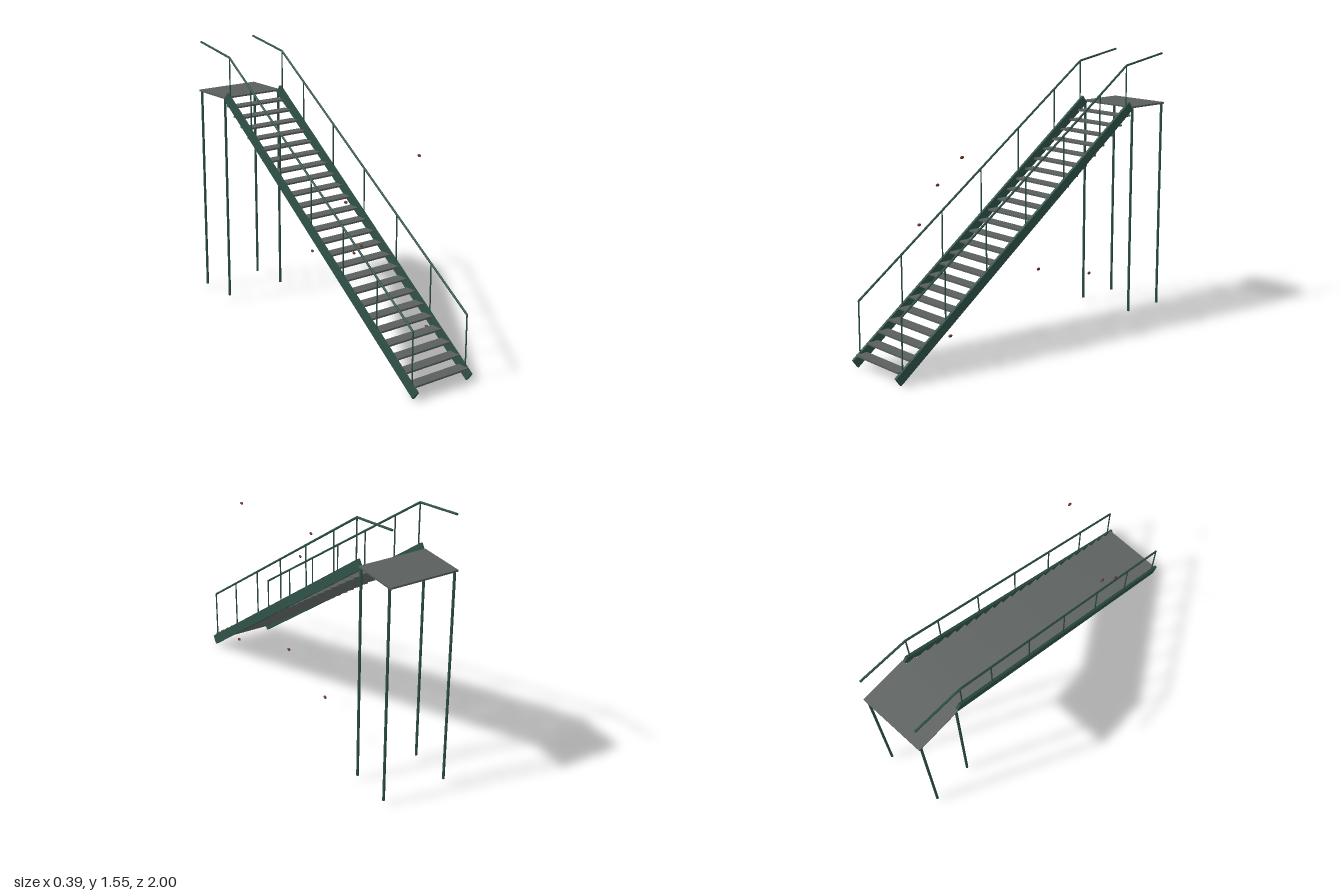
import * as THREE from 'three';

const green = new THREE.MeshStandardMaterial({ color: 0x2f5249 });
const grey = new THREE.MeshStandardMaterial({ color: 0x5a5f5d });
const brown = new THREE.MeshStandardMaterial({ color: 0x6b3626 });

function add(parent, name, geometry, material, x, y, z) {
  const mesh = new THREE.Mesh(geometry, material);
  mesh.name = name;
  mesh.position.set(x, y, z);
  parent.add(mesh);
  return mesh;
}

// Round bar between two points
function bar(parent, name, a, b, radius) {
  const dir = b.clone().sub(a);
  const mid = a.clone().add(b).multiplyScalar(0.5);
  const mesh = add(parent, name, new THREE.CylinderGeometry(radius, radius, dir.length(), 10), green, mid.x, mid.y, mid.z);
  mesh.quaternion.setFromUnitVectors(new THREE.Vector3(0, 1, 0), dir.normalize());
  return mesh;
}

export function createModel() {
  const model = new THREE.Group();
  model.name = 'staircase';

  // Centre line of the sloping side beams
  const low = { z: 0.984, y: 0.022 };
  const high = { z: -0.717, y: 1.263 };
  const run = low.z - high.z;
  const rise = high.y - low.y;
  const beamY = (z) => low.y + (rise * (low.z - z)) / run;
  const railY = (z) => 0.36 + 0.696 * (0.952 - z);

  for (const side of [-1, 1]) {
    const group = new THREE.Group();
    group.name = side > 0 ? 'leftSide' : 'rightSide';
    model.add(group);

    // Stringer
    const stringer = add(group, 'stringer', new THREE.BoxGeometry(0.015, 0.054, Math.hypot(run, rise)), green,
      side * 0.184, (low.y + high.y) / 2, (low.z + high.z) / 2);
    stringer.rotation.x = Math.atan2(rise, run);

    // Handrail with its bend at the top
    const x = side * 0.183;
    const foot = new THREE.Vector3(x, railY(0.952), 0.952);
    const bend = new THREE.Vector3(x, railY(-0.679), -0.679);
    const end = new THREE.Vector3(x, 1.545, -0.983);
    bar(group, 'handrail', foot, bend, 0.006);
    bar(group, 'upperHandrail', bend, end, 0.006);
    for (const p of [foot, bend]) add(group, 'handrailJoint', new THREE.SphereGeometry(0.006, 10, 8), green, p.x, p.y, p.z);

    // Rail posts
    for (const z of [0.952, 0.668, 0.385, 0.102, -0.182, -0.465, -0.679]) {
      bar(group, 'railPost', new THREE.Vector3(x, beamY(z), z), new THREE.Vector3(x, railY(z), z), 0.004);
    }

    // Platform legs
    for (const z of [-0.73, -0.983]) {
      bar(group, 'platformLeg', new THREE.Vector3(side * 0.187, 0.03, z), new THREE.Vector3(side * 0.187, 1.25, z), 0.0075);
    }
  }

  // Treads
  const tread = new THREE.BoxGeometry(0.36, 0.01, 0.069);
  for (let i = 0; i < 24; i++) {
    add(model, 'tread', tread, grey, 0, 0.068 + i * 0.0494, 0.9455 - i * 0.0711);
  }

  // Platform
  add(model, 'platform', new THREE.BoxGeometry(0.39, 0.01, 0.278), grey, 0, 1.253, -0.861);

  // Small loose studs: x, y, z
  const studs = [
    [0.187, 1.12, 0.55], [-0.187, 0.9, 0.41], [-0.187, 0.7, 0.54],
    [0.187, 0.43, 0.01], [0.187, 0.33, -0.39], [0.187, 0.19, 0.64], [0.187, 1.015, -0.36],
  ];
  for (const [x, y, z] of studs) {
    add(model, 'stud', new THREE.SphereGeometry(1, 10, 8), brown, x, y, z).scale.set(0.007, 0.008, 0.012);
  }
  return model;
}
